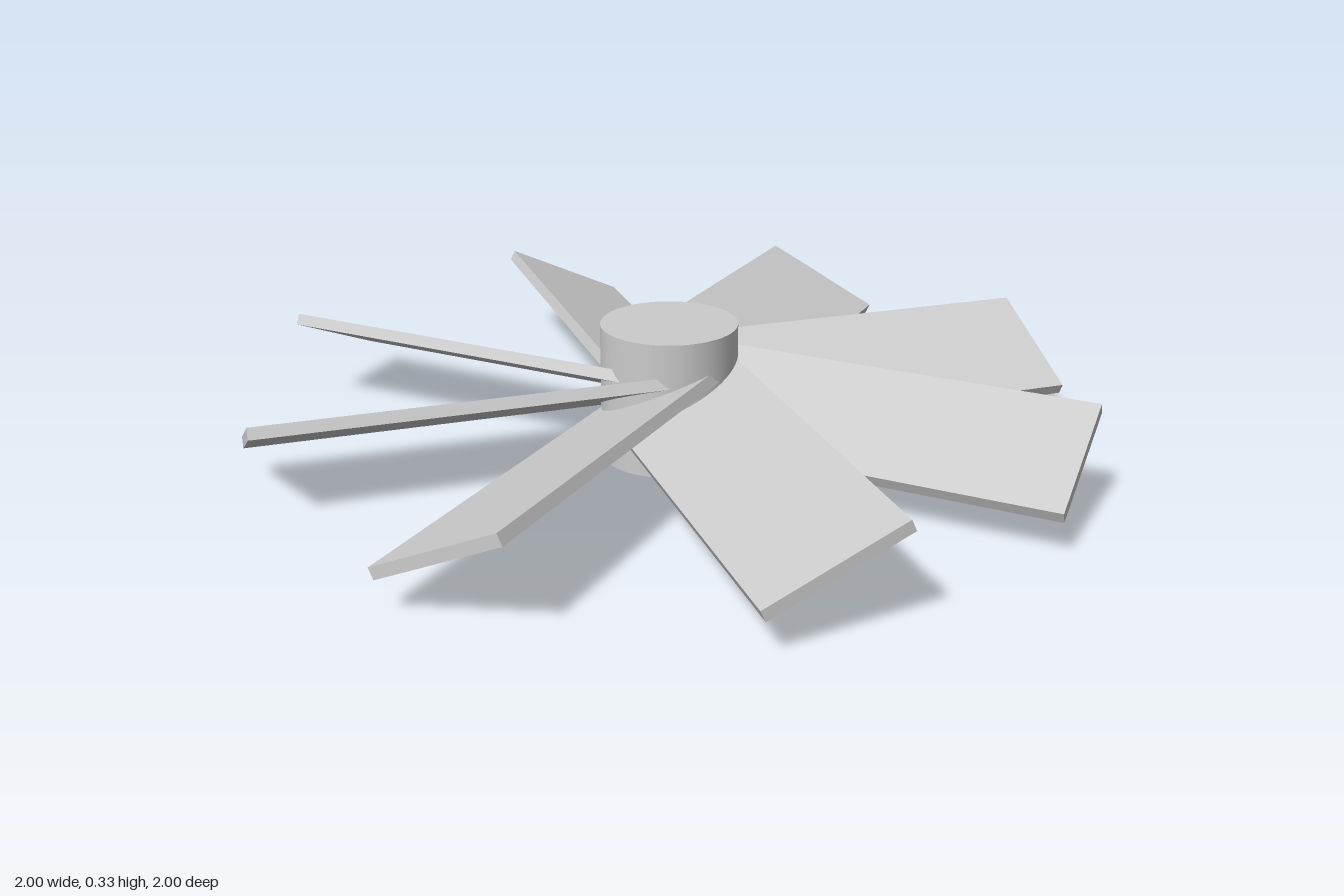
import * as THREE from 'three';

const BLADES = 8;
const HUB_RADIUS = 0.165;
const HUB_HEIGHT = 0.332;
const PITCH = THREE.MathUtils.degToRad(25);

export function createModel() {
  const fan = new THREE.Group();
  fan.name = 'fanRotor';
  const material = new THREE.MeshStandardMaterial({ color: 0xcccccc });

  // Central hub
  const hub = new THREE.Mesh(
    new THREE.CylinderGeometry(HUB_RADIUS, HUB_RADIUS, HUB_HEIGHT, 48),
    material
  );
  hub.name = 'hub';
  hub.position.y = HUB_HEIGHT / 2;
  fan.add(hub);

  // One flat blade from the axis out to radius 1, pitched about its length
  const bladeGeometry = new THREE.BoxGeometry(0.333, 0.028, 1);
  bladeGeometry.translate(0, 0, 0.5);
  bladeGeometry.rotateZ(PITCH);

  // Ring of blades
  for (let i = 0; i < BLADES; i++) {
    const blade = new THREE.Mesh(bladeGeometry, material);
    blade.name = `blade${i + 1}`;
    blade.position.y = HUB_HEIGHT / 2;
    blade.rotation.y = (i / BLADES) * Math.PI * 2;
    fan.add(blade);
  }
  return fan;
}
